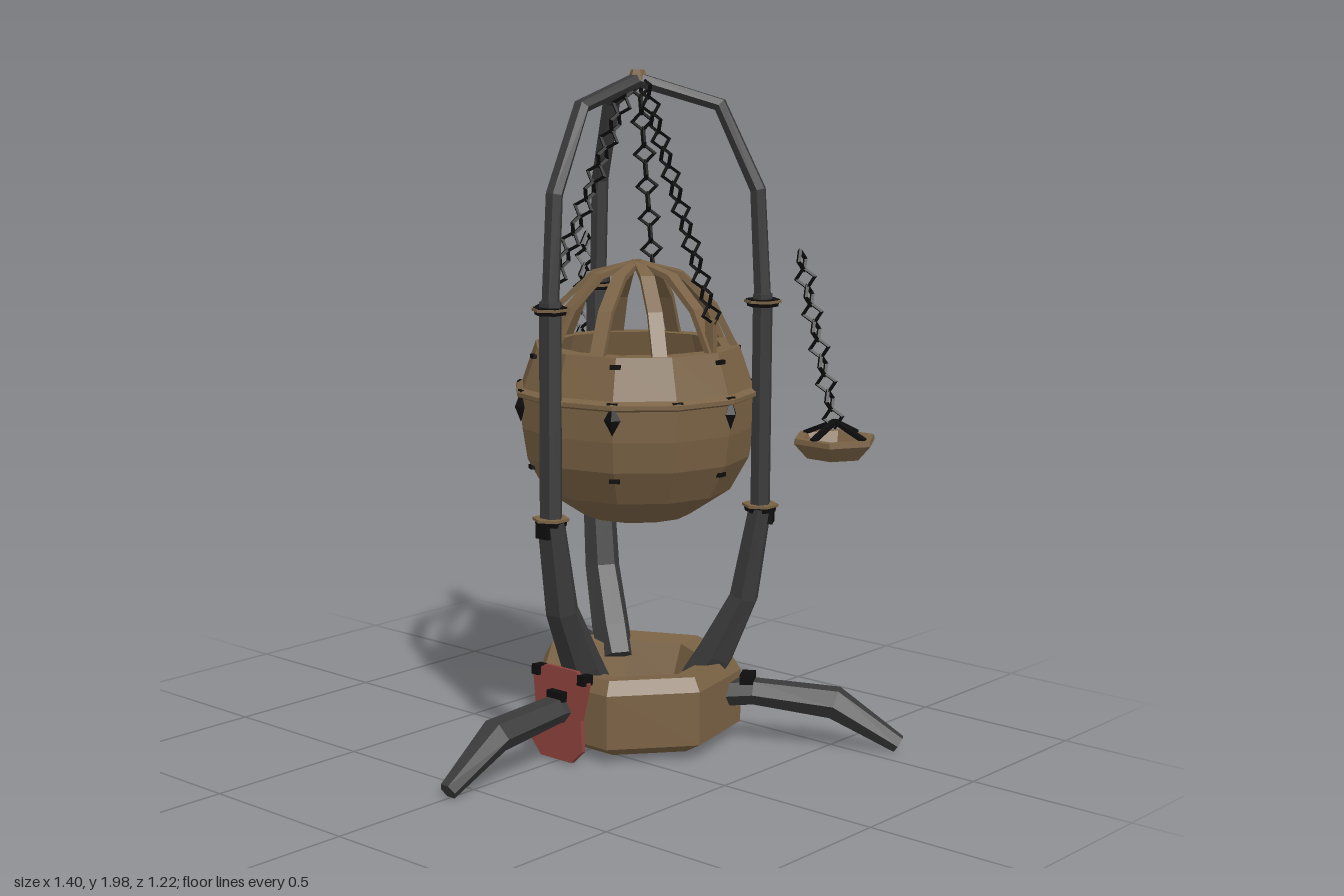
import * as THREE from 'three';

const mat = (name, color) => {
  const m = new THREE.MeshStandardMaterial({ color, flatShading: true });
  m.name = name;
  return m;
};

export function createModel() {
  const bronze = mat('bronze', 0x7a6244);
  const iron = mat('iron', 0x3a3a3b);
  const black = mat('black metal', 0x0d0d0d);
  const red = mat('red enamel', 0x8a403b);

  const model = new THREE.Group();
  model.name = 'hangingBrazier';
  // Everything radial is built around this axis
  const core = new THREE.Group();
  core.name = 'core';
  core.position.z = -0.19;
  model.add(core);

  const add = (parent, name, geo, material, x = 0, y = 0, z = 0) => {
    const m = new THREE.Mesh(geo, material);
    m.name = name;
    m.position.set(x, y, z);
    parent.add(m);
    return m;
  };

  // Beam through rows of [radius, y, halfWidth, halfThickness], in the z/y plane
  const beam = (rows, sides = 6, turn = 0) => {
    const pos = [], idx = [], n = rows.length;
    rows.forEach(([r, y, w, h], i) => {
      const a = rows[Math.max(i - 1, 0)], b = rows[Math.min(i + 1, n - 1)];
      const len = Math.hypot(b[0] - a[0], b[1] - a[1]);
      const tz = (b[0] - a[0]) / len, ty = (b[1] - a[1]) / len;
      for (let k = 0; k < sides; k++) {
        const t = turn + (k / sides) * Math.PI * 2, s = Math.sin(t) * h;
        pos.push(Math.cos(t) * w, y + tz * s, r - ty * s);
      }
    });
    for (let i = 0; i < n - 1; i++) {
      for (let k = 0; k < sides; k++) {
        const a = i * sides + k, b = i * sides + (k + 1) % sides;
        idx.push(a, b, b + sides, a, b + sides, a + sides);
      }
    }
    const e = (n - 1) * sides;
    for (let k = 1; k < sides - 1; k++) idx.push(0, k + 1, k, e, e + k, e + k + 1);
    const g = new THREE.BufferGeometry();
    g.setAttribute('position', new THREE.Float32BufferAttribute(pos, 3));
    g.setIndex(idx);
    g.computeVertexNormals();
    return g;
  };

  const lathe = (pts, sides, phase = 0) =>
    new THREE.LatheGeometry(pts.map(p => new THREE.Vector2(...p)), sides, phase);

  // Chain of diamond links, alternately turned a quarter
  const linkGeo = new THREE.TorusGeometry(0.029, 0.007, 4, 4);
  const chain = (parent, name, from, to) => {
    const a = new THREE.Vector3(...from), b = new THREE.Vector3(...to);
    const g = new THREE.Group();
    g.name = name;
    g.position.copy(a);
    g.quaternion.setFromUnitVectors(new THREE.Vector3(0, 1, 0), b.clone().sub(a).normalize());
    const len = a.distanceTo(b), count = Math.round(len / 0.053);
    for (let i = 0; i < count; i++) {
      const link = add(g, 'chainLink', linkGeo, black, 0, (i + 0.5) * len / count, 0);
      link.rotation.y = (i % 2) * Math.PI / 2 + 0.3;
    }
    parent.add(g);
  };

  // Hollow base
  add(core, 'base', lathe([[0, 0.02], [0.25, 0.025], [0.315, 0.06], [0.315, 0.22], [0.29, 0.26],
    [0.21, 0.25], [0.17, 0.14], [0, 0.13]], 7, Math.PI / 7), bronze);

  // Three supports, each with a foot, post and overhead arm
  const footGeo = beam([[0.27, 0.16, 0.05, 0.04], [0.36, 0.17, 0.05, 0.04],
    [0.6, 0.15, 0.053, 0.05], [0.79, 0.035, 0.028, 0.028]]);
  const lowerGeo = beam([[0.19, 0.2, 0.055, 0.06], [0.24, 0.28, 0.06, 0.06],
    [0.325, 0.46, 0.055, 0.045], [0.37, 0.73, 0.05, 0.035]]);
  const postGeo = beam([[0.37, 0.7, 0.038, 0.03], [0.37, 1.36, 0.038, 0.03]]);
  const armGeo = beam([[0.37, 1.34, 0.026, 0.026], [0.352, 1.66, 0.027, 0.024],
    [0.24, 1.9, 0.027, 0.022], [0, 1.97, 0.024, 0.022]]);
  const collarGeo = new THREE.CylinderGeometry(0.05, 0.045, 0.022, 6);
  const trimGeo = new THREE.CylinderGeometry(0.054, 0.054, 0.008, 6);
  for (let i = 0; i < 3; i++) {
    const s = new THREE.Group();
    s.name = 'support';
    s.rotation.y = i * Math.PI * 2 / 3;
    core.add(s);
    add(s, 'foot', footGeo, iron);
    add(s, 'lowerPost', lowerGeo, iron);
    add(s, 'upperPost', postGeo, iron);
    add(s, 'overheadArm', armGeo, iron);
    for (const y of [0.73, 1.335]) {
      add(s, 'collar', collarGeo, black, 0, y, 0.37);
      add(s, 'collarTrim', trimGeo, bronze, 0, y + (y > 1 ? 0.004 : 0.008), 0.37);
    }
    add(s, 'collarClasp', new THREE.BoxGeometry(0.045, 0.05, 0.015), black, 0, 0.71, 0.402);
    add(s, 'footClamp', new THREE.BoxGeometry(0.06, 0.03, 0.04), black, 0, 0.21, 0.34);
  }
  add(core, 'apexCap', new THREE.CylinderGeometry(0.02, 0.03, 0.03, 6), bronze, 0, 1.983, 0);

  // Open bowl with a thick wall
  add(core, 'bowl', lathe([[0, 0.7], [0.16, 0.7], [0.28, 0.78], [0.335, 0.88], [0.35, 0.97],
    [0.352, 1.07], [0.305, 1.205], [0.25, 1.205], [0.295, 1.07], [0.27, 0.9], [0.19, 0.79], [0, 0.77]], 12), bronze);
  add(core, 'bowlFloor', new THREE.CylinderGeometry(0.2, 0.19, 0.02, 12), iron, 0, 0.81, 0);
  add(core, 'bowlBand', lathe([[0.345, 1.055], [0.366, 1.065], [0.366, 1.077], [0.34, 1.09]], 12), bronze);

  // Curved ribs over the bowl
  const ribGeo = beam([[0.29, 1.19, 0.03, 0.012], [0.225, 1.32, 0.03, 0.012],
    [0.13, 1.41, 0.029, 0.012], [0, 1.445, 0.018, 0.01]], 4, Math.PI / 4);
  for (let i = 0; i < 10; i++) {
    add(core, 'cageRib', ribGeo, bronze).rotation.y = (i + 0.5) * Math.PI / 5;
  }

  // Studs around the bowl
  const ring = (count, r, y, phase, geo, name) => {
    for (let i = 0; i < count; i++) {
      const t = phase + i * Math.PI * 2 / count;
      add(core, name, geo, black, Math.cos(t) * r, y, Math.sin(t) * r).rotation.y = -t;
    }
  };
  const studGeo = new THREE.OctahedronGeometry(1).scale(0.018, 0.045, 0.024);
  const pinGeo = new THREE.BoxGeometry(0.012, 0.012, 0.03);
  ring(6, 0.355, 1.035, 0, studGeo, 'bowlStud');
  ring(12, 0.353, 1.078, 0, pinGeo, 'bandPin');
  ring(6, 0.316, 1.18, 0, pinGeo, 'rimPin');
  ring(6, 0.322, 0.855, 0, pinGeo, 'lowerPin');

  // Chains holding the bowl
  for (let i = 0; i < 3; i++) {
    const t = i * Math.PI * 2 / 3, c = Math.cos(t), s = Math.sin(t);
    chain(core, 'bowlChain', [c * 0.02, 1.97, s * 0.02], [c * 0.29, 1.29, s * 0.29]);
    add(core, 'chainHook', new THREE.BoxGeometry(0.03, 0.1, 0.02), bronze, c * 0.28, 1.25, s * 0.28).rotation.y = -t;
  }

  // Hanging side pans
  const panGeo = lathe([[0, 0.89], [0.085, 0.89], [0.127, 0.935], [0.125, 0.95], [0.098, 0.95],
    [0.075, 0.915], [0, 0.91]], 6, Math.PI / 6);
  const strapGeo = beam([[0.105, 0.95, 0.012, 0.009], [0, 0.995, 0.012, 0.009]], 4, Math.PI / 4);
  for (const side of [-1, 1]) {
    const pan = new THREE.Group();
    pan.name = side > 0 ? 'leftPan' : 'rightPan';
    pan.position.set(side * 0.508, 0, -0.48);
    add(pan, 'panDish', panGeo, bronze);
    for (let k = 0; k < 4; k++) add(pan, 'panStrap', strapGeo, black).rotation.y = k * Math.PI / 2;
    model.add(pan);
    chain(model, 'panChain', [side * 0.508, 0.98, -0.48], [side * 0.415, 1.485, -0.425]);
  }

  // Red front shield with corner knobs, leaning slightly
  const half = [[0.06, 0.02], [0.1, 0.06], [0.088, 0.15], [0.108, 0.26], [0.06, 0.29]];
  const outline = [...half, ...half.map(([x, y]) => [-x, y]).reverse()];
  const shape = new THREE.Shape(outline.map(p => new THREE.Vector2(...p)));
  const shield = new THREE.Group();
  shield.name = 'frontShield';
  shield.position.z = 0.15;
  shield.rotation.x = -0.08;
  add(shield, 'shieldPlate', new THREE.ExtrudeGeometry(shape, { depth: 0.014, bevelEnabled: false }), red);
  for (const x of [-0.09, 0.09]) {
    add(shield, 'shieldKnob', new THREE.BoxGeometry(0.026, 0.03, 0.04), black, x, 0.27, 0.007);
  }
  model.add(shield);
  return model;
}
